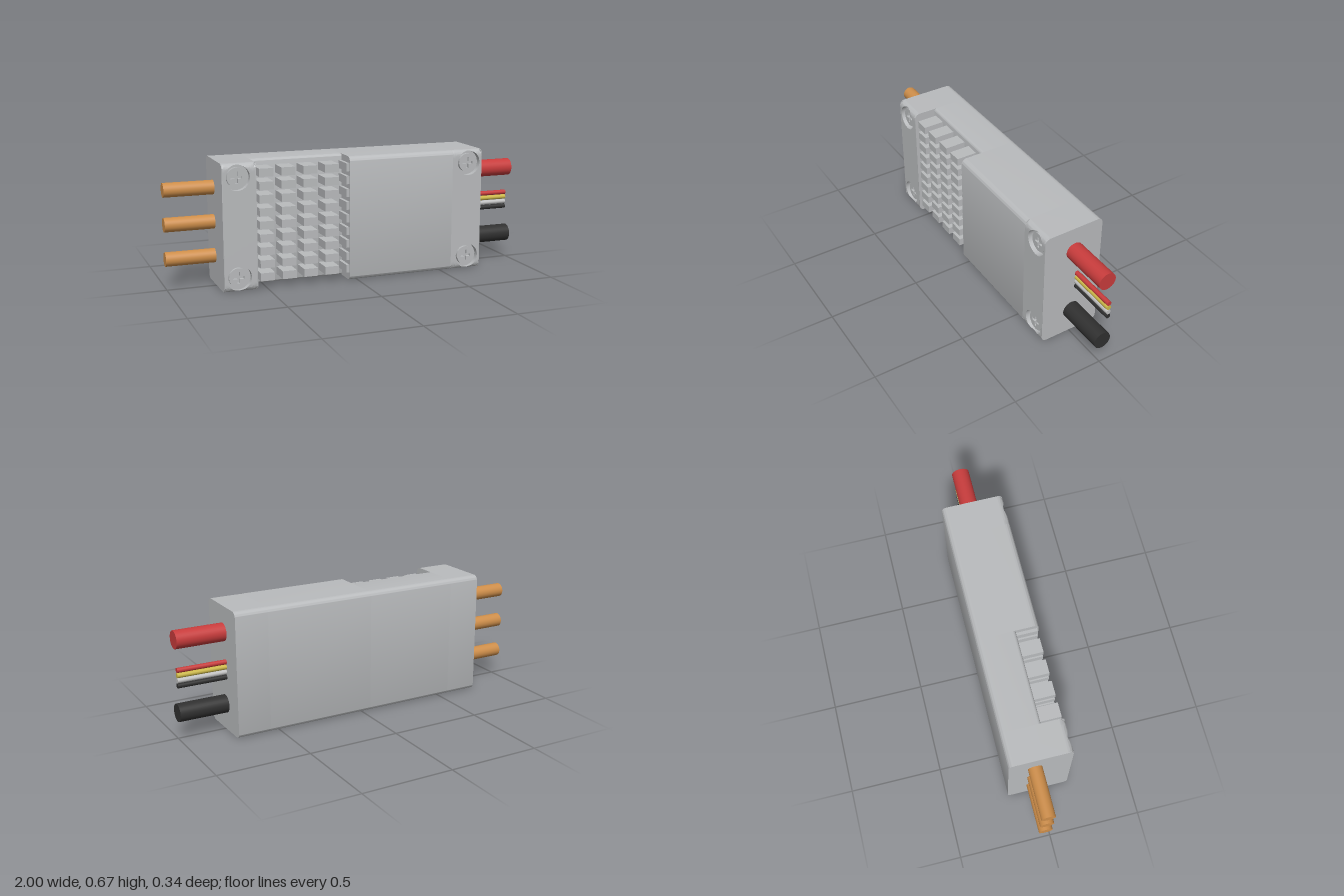
import * as THREE from 'three';
import { toCreasedNormals } from 'three/addons/utils/BufferGeometryUtils.js';

const H = 0.672, D = 0.168, R = 0.03;      // body height, half depth, edge radius
const XO = 0.735, XP = 0.555, XI = -0.045; // body end, pocket outer and inner sides
const POCKET_Z = 0.045, SEAT_Z = D - R;

const mat = (name, color) => {
  const m = new THREE.MeshStandardMaterial({ color });
  m.name = name;
  return m;
};

// Side outline (local x = -z) pushed along x; rf is the radius of the front edges
function slab(x0, x1, front, rf) {
  const s = new THREE.Shape(), b = D, f = -front;
  s.moveTo(f + rf, 0);
  s.lineTo(b - R, 0);
  s.absarc(b - R, R, R, -Math.PI / 2, 0);
  s.lineTo(b, H - R);
  s.absarc(b - R, H - R, R, 0, Math.PI / 2);
  s.lineTo(f + rf, H);
  if (rf > 0) s.absarc(f + rf, H - rf, rf, Math.PI / 2, Math.PI);
  else s.lineTo(f, H);
  s.lineTo(f, rf);
  if (rf > 0) s.absarc(f + rf, rf, rf, Math.PI, Math.PI * 1.5);
  const g = new THREE.ExtrudeGeometry(s, { depth: x1 - x0, bevelEnabled: false, curveSegments: 10 });
  g.rotateY(Math.PI / 2).translate(x0, 0, 0);
  return toCreasedNormals(g, 0.6);
}

// Height of the rounded front surface
const frontZ = (y) => {
  const d = Math.min(R, Math.max(0, Math.abs(y - H / 2) - (H / 2 - R)));
  return SEAT_Z + Math.sqrt(R * R - d * d);
};

// Front surface patch with a round screw recess, as rings from recess floor to rectangle
function recessedFront(x0, x1, y0, y1, cx, cy, r) {
  const n = 16, steps = 10, rim = [];
  const corners = [[x0, y0], [x1, y0], [x1, y1], [x0, y1]];
  corners.forEach((a, k) => {
    const b = corners[(k + 1) % 4];
    for (let i = 0; i < n; i++) rim.push([a[0] + (b[0] - a[0]) * i / n, a[1] + (b[1] - a[1]) * i / n]);
  });
  const pos = [], idx = [], N = rim.length;
  for (let j = -1; j <= steps; j++) {
    const t = Math.max(0, j) / steps;
    for (const [px, py] of rim) {
      const a = Math.atan2(py - cy, px - cx);
      const x = THREE.MathUtils.lerp(cx + r * Math.cos(a), px, t);
      const y = THREE.MathUtils.lerp(cy + r * Math.sin(a), py, t);
      pos.push(x, y, j < 0 ? SEAT_Z : frontZ(y));
    }
  }
  for (let j = 0; j <= steps; j++) for (let i = 0; i < N; i++) {
    const k = (i + 1) % N, a = j * N, b = a + N;
    idx.push(a + i, b + i, b + k, a + i, b + k, a + k);
  }
  const g = new THREE.BufferGeometry();
  g.setAttribute('position', new THREE.Float32BufferAttribute(pos, 3));
  g.setIndex(idx);
  return toCreasedNormals(g, 0.6);
}

// Screw head with a cross-shaped slot
function screwHead(r) {
  const s = new THREE.Shape().absarc(0, 0, r, 0, Math.PI * 2);
  const a = 0.007, b = 0.03;
  s.holes.push(new THREE.Path([
    [a, a], [a, b], [-a, b], [-a, a], [-b, a], [-b, -a],
    [-a, -a], [-a, -b], [a, -b], [a, -a], [b, -a], [b, a],
  ].map(([x, y]) => new THREE.Vector2(x, y))));
  const g = new THREE.ExtrudeGeometry(s, { depth: 0.016, bevelEnabled: false, curveSegments: 24 });
  return toCreasedNormals(g, 0.6);
}

export function createModel() {
  const model = new THREE.Group();
  const grey = mat('caseGrey', 0xb9bbbd), red = mat('wireRed', 0xc83c3c);
  const black = mat('wireBlack', 0x303030), yellow = mat('wireYellow', 0xcdb94a);
  const white = mat('wireWhite', 0xc2c2c2), tan = mat('wireTan', 0xce8e4a);

  const add = (name, geo, material, parent = model) => {
    const m = new THREE.Mesh(geo, material);
    m.name = name;
    parent.add(m);
    return m;
  };

  // Case: pocket floor and cover
  const body = new THREE.Group();
  body.name = 'case';
  model.add(body);
  add('pocketFloor', slab(-XP, XI, POCKET_Z, 0.018), grey, body);
  add('cover', slab(XI, XP, D, R), grey, body);

  // Both ends, each with two recessed screws
  const skin = 0.003, head = screwHead(0.051);
  for (const s of [-1, 1]) {
    const x0 = s < 0 ? -XO : XP, x1 = s < 0 ? -XP : XO;
    add('endBlock', slab(x0, x1, SEAT_Z, 0), grey, body);
    add('endFace', slab(x0, x0 + skin, D, R), grey, body);
    add('endFace', slab(x1 - skin, x1, D, R), grey, body);
    for (const [y0, y1, cy] of [[0, H / 2, 0.073], [H / 2, H, H - 0.073]]) {
      const cx = s * 0.655;
      add('screwRecess', recessedFront(x0 + skin, x1 - skin, y0, y1, cx, cy, 0.067), grey, body);
      add('screwHead', head, grey, body).position.set(cx, cy, SEAT_Z);
    }
  }

  // Heat sink: four columns of pins and a row of teeth on the cover edge
  const sink = new THREE.Group();
  sink.name = 'heatSink';
  model.add(sink);
  const zBase = POCKET_Z - 0.01, zTip = 0.159;
  const pin = new THREE.BoxGeometry(0.077, 0.043, zTip - zBase);
  const tooth = new THREE.BoxGeometry(0.02, 0.043, zTip - zBase);
  for (let row = 0; row < 9; row++) {
    const y = H / 2 + (row - 4) * 0.069 + 0.004, z = (zBase + zTip) / 2;
    for (let col = 0; col < 4; col++) {
      add('pin', pin, grey, sink).position.set(-0.499 + col * 0.119, y, z);
    }
    add('tooth', tooth, grey, sink).position.set(XI - 0.007, y, z);
  }

  // Wires leaving both ends
  const wire = (name, side, y, z, r, material) => {
    const g = new THREE.CylinderGeometry(r, r, 1 - XO + 0.02, 32).rotateZ(Math.PI / 2);
    add(name, g, material).position.set(side * (1 + XO - 0.02) / 2, y, z);
  };
  for (const y of [0.158, 0.341, 0.524]) wire('motorWire', -1, y, -0.028, 0.038, tan);
  wire('positiveWire', 1, 0.532, -0.008, 0.048, red);
  wire('negativeWire', 1, 0.143, -0.008, 0.048, black);
  [black, white, yellow, red].forEach((m, i) => wire('signalWire', 1, 0.296 + i * 0.0273, -0.031, 0.013, m));

  return model;
}
